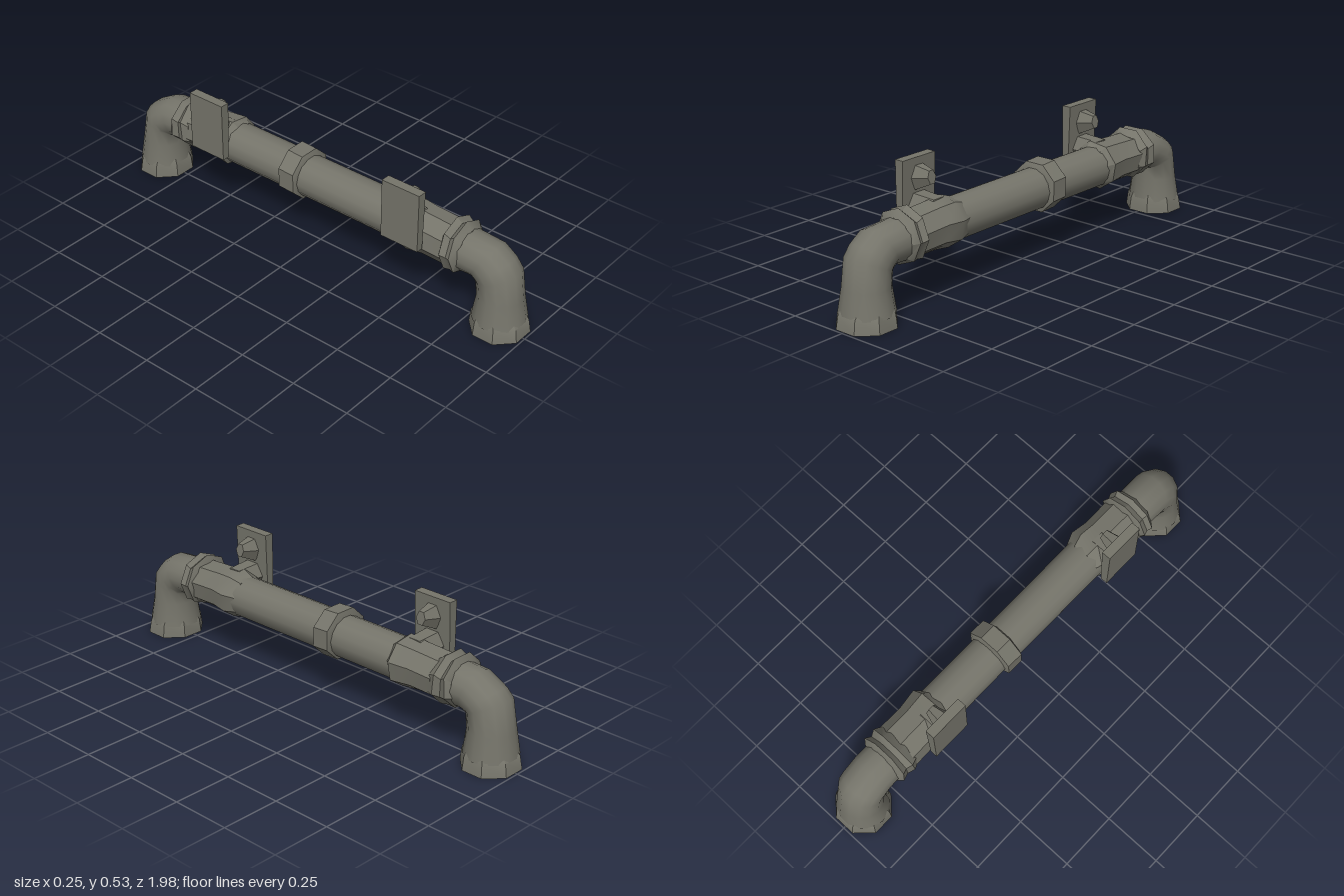
import * as THREE from 'three';
import { toCreasedNormals } from 'three/addons/utils/BufferGeometryUtils.js';

const CX = 0.006; // pipe axis in x

// Loft through rings [outerZ, outerY, innerZ, innerY, halfWidthX]
function loft(rings, sides, crease = 0.7, turn = 0) {
  const pos = [], idx = [];
  rings.forEach(([zo, yo, zi, yi, rx]) => {
    for (let j = 0; j < sides; j++) {
      const a = ((j + turn) / sides) * Math.PI * 2, s = Math.sin(a) / 2;
      pos.push(CX + rx * Math.cos(a), (yo + yi) / 2 + (yo - yi) * s, (zo + zi) / 2 + (zo - zi) * s);
    }
  });
  for (let i = 0; i < rings.length - 1; i++) {
    for (let j = 0; j < sides; j++) {
      const k = (j + 1) % sides, a = i * sides + j, b = i * sides + k;
      idx.push(a, b, a + sides, b, b + sides, a + sides);
    }
  }
  // end caps
  const last = (rings.length - 1) * sides;
  for (let j = 1; j < sides - 1; j++) {
    idx.push(0, j + 1, j, last, last + j, last + j + 1);
  }
  const g = new THREE.BufferGeometry();
  g.setAttribute('position', new THREE.Float32BufferAttribute(pos, 3));
  g.setIndex(idx);
  return toCreasedNormals(g, crease);
}

export function createModel() {
  const group = new THREE.Group();
  const metal = new THREE.MeshStandardMaterial({ color: 0x75746a });
  metal.name = 'weathered grey metal';
  const add = (name, geometry, parent = group) => {
    const m = new THREE.Mesh(geometry, metal);
    m.name = name;
    parent.add(m);
    return m;
  };

  // Main pipe with a bend at each end
  add('pipe', loft([
    [-0.985, 0.05, -0.775, 0.05, 0.112],
    [-0.97, 0.15, -0.785, 0.15, 0.096],
    [-0.945, 0.28, -0.78, 0.2, 0.095],
    [-0.91, 0.315, -0.775, 0.2, 0.094],
    [-0.82, 0.365, -0.765, 0.2, 0.092],
    [-0.72, 0.372, -0.72, 0.2, 0.09],
    [0, 0.372, 0, 0.2, 0.088],
    [0.72, 0.37, 0.72, 0.2, 0.09],
    [0.855, 0.358, 0.765, 0.205, 0.092],
    [0.915, 0.315, 0.775, 0.2, 0.094],
    [0.95, 0.27, 0.78, 0.195, 0.095],
    [0.967, 0.15, 0.785, 0.15, 0.096],
    [0.985, 0.05, 0.77, 0.05, 0.112],
  ], 14, 1.0));

  // Faceted feet
  for (const s of [1, -1]) {
    const foot = [
      [0.96, 0.09, 0.785, 0.09, 0.098],
      [0.99, 0.055, 0.768, 0.055, 0.115],
      [1.0, 0.0, 0.762, 0.0, 0.123],
    ];
    const rings = s > 0 ? foot : foot.map(([a, b, c, d, e]) => [-a, b, -c, d, e]).reverse();
    add(s > 0 ? 'frontFoot' : 'rearFoot', loft(rings, 8, 0.6, 0.5));
  }

  // Faceted sleeves and collars: stations are [topZ, bottomZ, topY, bottomY, halfWidth]
  const band = (name, stations, turn) =>
    add(name, loft(stations.map(([zt, zb, yt, yb, r]) => [zt, yt, zb, yb, r]), 8, 0.6, turn));
  band('middleCollar', [
    [-0.145, -0.14, 0.375, 0.2, 0.09], [-0.138, -0.135, 0.402, 0.188, 0.112],
    [-0.065, -0.06, 0.398, 0.185, 0.112], [-0.055, -0.055, 0.375, 0.2, 0.09]], 0.5);
  band('frontCollar', [
    [0.645, 0.655, 0.37, 0.195, 0.095], [0.66, 0.665, 0.404, 0.182, 0.114],
    [0.685, 0.69, 0.385, 0.187, 0.105], [0.705, 0.71, 0.402, 0.182, 0.114],
    [0.73, 0.73, 0.37, 0.2, 0.09]], 0);
  band('frontSleeve', [
    [0.41, 0.41, 0.372, 0.2, 0.088], [0.46, 0.47, 0.39, 0.186, 0.11],
    [0.53, 0.54, 0.385, 0.195, 0.098], [0.66, 0.66, 0.378, 0.195, 0.1]], 0.3);
  band('rearCollar', [
    [-0.74, -0.76, 0.372, 0.205, 0.092], [-0.725, -0.735, 0.402, 0.19, 0.114],
    [-0.705, -0.7, 0.38, 0.19, 0.102], [-0.685, -0.665, 0.404, 0.184, 0.114],
    [-0.65, -0.64, 0.378, 0.195, 0.1]], 0.5);
  band('rearSleeve', [
    [-0.66, -0.65, 0.38, 0.195, 0.102], [-0.54, -0.55, 0.385, 0.195, 0.1],
    [-0.455, -0.46, 0.392, 0.186, 0.112], [-0.43, -0.44, 0.372, 0.2, 0.088]], 0.3);

  // Upright mounting plates, each with a peg and a web down to the pipe
  for (const [name, z] of [['frontBracket', 0.493], ['rearBracket', -0.495]]) {
    const bracket = new THREE.Group();
    bracket.name = name;
    bracket.position.z = z;
    group.add(bracket);

    const plate = new THREE.BoxGeometry(0.04, 0.252, 0.174);
    const p = plate.attributes.position;
    for (let i = 0; i < p.count; i++) {
      if (p.getY(i) < 0 && p.getX(i) > 0) p.setX(i, 0.011);
    }
    plate.computeVertexNormals();
    add('plate', plate, bracket).position.set(-0.11, 0.405, 0);

    // tapered peg pointing inward
    const peg = new THREE.CylinderGeometry(0.03, 0.058, 0.075, 6);
    peg.scale(1, 1, 0.75);
    peg.rotateZ(-Math.PI / 2);
    const pegMesh = add('peg', toCreasedNormals(peg, 0.5), bracket);
    pegMesh.position.set(-0.062, 0.457, 0);
    pegMesh.rotation.z = 0.13;

    // web joining plate and pipe
    const web = new THREE.CylinderGeometry(0.055, 0.062, 0.11, 6);
    web.scale(0.95, 1, 0.95);
    web.rotateZ(-Math.PI / 2);
    add('web', toCreasedNormals(web, 0.5), bracket).position.set(-0.048, 0.34, 0);
  }
  return group;
}
